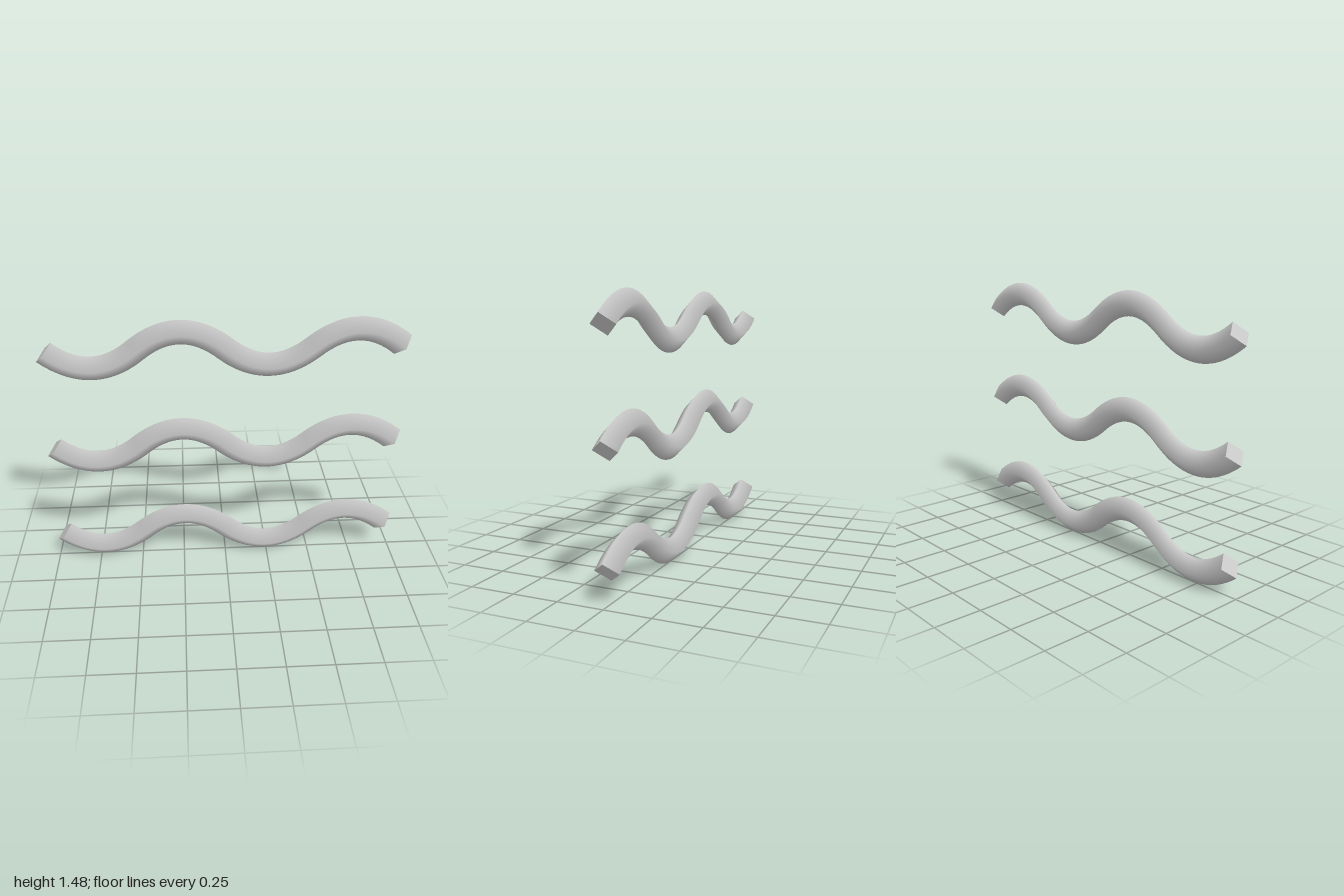
import * as THREE from 'three';

const RADIUS = 0.068;    // centre to corner of the diamond section
const HALF_LENGTH = 0.957;
const SWING = 0.097;     // centre line swing above and below its middle
const SPACING = 0.573;   // height between neighbouring waves

// Centre line: four parabolic arcs, alternately trough and crest
function wavePath() {
  const path = new THREE.CurvePath();
  const span = HALF_LENGTH / 2;
  for (let i = 0; i < 4; i++) {
    const x = -HALF_LENGTH + i * span;
    const bend = (i % 2 ? 2 : -2) * SWING;
    path.add(new THREE.QuadraticBezierCurve3(
      new THREE.Vector3(x, 0, 0),
      new THREE.Vector3(x + span / 2, bend, 0),
      new THREE.Vector3(x + span, 0, 0)
    ));
  }
  return path;
}

// Flat diamond closing one end, square to the path
function endCap(side) {
  const slope = Math.atan2(2 * SWING, HALF_LENGTH / 4);
  return new THREE.CircleGeometry(RADIUS, 4)
    .rotateY(side * Math.PI / 2)
    .rotateZ(-slope)
    .translate(side * HALF_LENGTH, 0, 0);
}

export function createModel() {
  const grey = new THREE.MeshStandardMaterial({ color: 0xc8c8c8 });
  grey.name = 'light grey';

  const tube = new THREE.TubeGeometry(wavePath(), 96, RADIUS, 4, false);
  const parts = [
    ['waveBar', tube],
    ['rightEndCap', endCap(-1)],
    ['leftEndCap', endCap(1)],
  ];

  const model = new THREE.Group();
  model.name = 'threeWaves';
  ['lowerWave', 'middleWave', 'upperWave'].forEach((name, i) => {
    const wave = new THREE.Group();
    wave.name = name;
    wave.position.y = RADIUS + SWING + i * SPACING;
    for (const [partName, geometry] of parts) {
      const mesh = new THREE.Mesh(geometry, grey);
      mesh.name = partName;
      wave.add(mesh);
    }
    model.add(wave);
  });
  return model;
}
